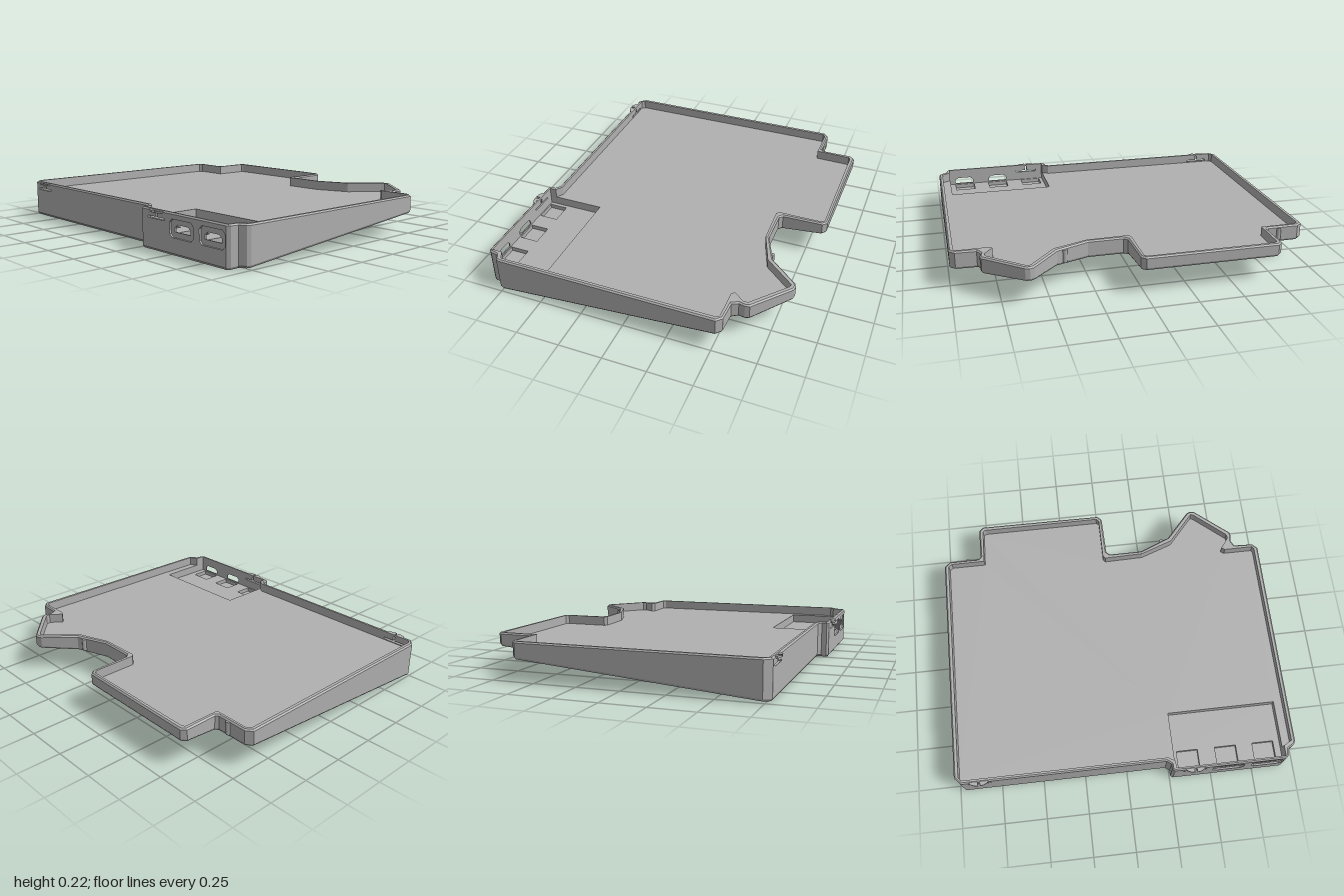
import * as THREE from 'three';

const TOP = 0.22, FLOOR = 0.165, RECESS = 0.115, POCKET = 0.09;
const underside = (z) => 0.0717 - 0.0848 * z;

// Plan outlines as [x, z], running from the back right corner along the back
const outer = [
  [-1, -0.61], [-0.965, -0.64], [-0.785, -0.64], [-0.77, -0.655], [-0.77, -0.84], [-0.745, -0.865],
  [0, -0.86], [0.025, -0.835], [0.03, -0.6], [0.05, -0.58], [0.25, -0.58], [0.435, -0.655],
  [0.58, -0.82], [0.605, -0.83], [0.63, -0.825], [0.835, -0.65], [0.84, -0.625], [0.832, -0.59],
  [0.85, -0.555], [0.965, -0.55], [0.995, -0.52], [0.99, 0.745], [0.98, 0.765], [0.945, 0.785],
  [0.937, 0.825], [0.92, 0.842], [0.27, 0.842], [0.255, 0.83], [0.255, 0.8], [0.23, 0.78],
  [-0.965, 0.78], [-1, 0.74],
];
const inner = [
  [-0.975, -0.605], [-0.955, -0.62], [-0.75, -0.62], [-0.745, -0.83], [-0.73, -0.84], [-0.01, -0.84],
  [0.005, -0.825], [0.005, -0.57], [0.02, -0.555], [0.255, -0.56], [0.45, -0.63], [0.59, -0.79],
  [0.605, -0.805], [0.62, -0.8], [0.81, -0.635], [0.815, -0.61], [0.765, -0.545], [0.785, -0.53],
  [0.96, -0.53], [0.97, -0.515], [0.968, 0.74], [0.92, 0.765], [0.92, 0.825], [0.28, 0.825],
  [0.28, 0.785], [0.24, 0.76], [-0.96, 0.76], [-0.975, 0.74],
];
// The long front edges are built as pierced panels instead of plain wall
const isFront = (a, b) => a[0] - b[0] > 0.5 && a[1] > 0.7;

function inset(points, d) {
  const n = points.length;
  const normal = (a, b) => new THREE.Vector2(b[1] - a[1], a[0] - b[0]).normalize();
  return points.map((p, i) => {
    const n1 = normal(points[(i + n - 1) % n], p), n2 = normal(p, points[(i + 1) % n]);
    const m = n1.clone().add(n2).multiplyScalar(d / (1 + n1.dot(n2)));
    return [p[0] - m.x, p[1] - m.y];
  });
}

// Strip between two closed loops; heights are functions of z
function ribbon(low, yLow, high, yHigh, { inward = false, skip = () => false } = {}) {
  const pos = [];
  low.forEach((p, i) => {
    const j = (i + 1) % low.length, q = low[j];
    if (skip(p, q)) return;
    const a = [p[0], yLow(p[1]), p[1]], b = [q[0], yLow(q[1]), q[1]];
    const c = [high[j][0], yHigh(high[j][1]), high[j][1]], d = [high[i][0], yHigh(high[i][1]), high[i][1]];
    pos.push(...(inward ? [a, b, c, a, c, d] : [a, d, c, a, c, b]).flat());
  });
  const g = new THREE.BufferGeometry();
  g.setAttribute('position', new THREE.Float32BufferAttribute(pos, 3));
  g.computeVertexNormals();
  return g;
}

const vectors = (points, s = 1) => points.map(([x, y]) => new THREE.Vector2(x, s * y));

// Horizontal face with optional holes
function cap(points, y, holes = []) {
  const shape = new THREE.Shape(vectors(points, -1));
  shape.holes = holes.map((h) => new THREE.Path(vectors(h, -1)));
  const g = new THREE.ShapeGeometry(shape).rotateX(-Math.PI / 2);
  return g.translate(0, y, 0);
}

const rect = (x0, x1, y0, y1) => [[x0, y0], [x1, y0], [x1, y1], [x0, y1]];
const cutRect = (x0, x1, y0, y1, c) => [
  [x0 + c, y0], [x1 - c, y0], [x1, y0 + c], [x1, y1 - c], [x1 - c, y1], [x0 + c, y1], [x0, y1 - c], [x0, y0 + c],
];

// Upright panel with holes, from z0 to z1
function panel(x0, x1, y0, y1, z0, z1, holes) {
  const shape = new THREE.Shape(vectors(rect(x0, x1, y0, y1)));
  shape.holes = holes.map((h) => new THREE.Path(vectors(h)));
  return new THREE.ExtrudeGeometry(shape, { depth: z1 - z0, bevelEnabled: false }).translate(0, 0, z0);
}

// T-shaped relief slot that frees a snap tab
const slot = (c) => [
  [c - 0.07, 0.17], [c + 0.07, 0.17], [c + 0.07, 0.181], [c + 0.006, 0.181],
  [c + 0.006, 0.209], [c - 0.006, 0.209], [c - 0.006, 0.181], [c - 0.07, 0.181],
];

export function createModel() {
  const model = new THREE.Group();
  model.name = 'caseBase';
  const grey = new THREE.MeshStandardMaterial({ color: 0xb0b0b0, side: THREE.DoubleSide });
  grey.name = 'grey plastic';
  const add = (name, geometry) => {
    const mesh = new THREE.Mesh(geometry, grey);
    mesh.name = name;
    model.add(mesh);
    return mesh;
  };

  // Wedge shell: sloping underside, chamfers, walls and rim
  const small = inset(outer, 0.008);
  const chamferY = (z) => underside(z) + 0.012;
  const under = cap(small, 0);
  const p = under.attributes.position;
  for (let i = 0; i < p.count; i++) p.setY(i, underside(p.getZ(i)));
  under.computeVertexNormals();
  add('underside', under);
  add('bottomChamfer', ribbon(small, underside, outer, chamferY));
  add('outerWall', ribbon(outer, chamferY, outer, () => 0.212, { skip: isFront }));
  add('topChamfer', ribbon(outer, () => 0.212, small, () => TOP));
  add('rim', cap(small, TOP, [inner]));
  add('innerWall', ribbon(inner, () => FLOOR, inner, () => TOP, { inward: true, skip: isFront }));

  // Tray floor, cut away over the connector recess
  add('floor', cap(inner.map(([x, z]) => [x, z > 0.8 ? 0.485 : z]), FLOOR));

  // Connector recess with three pockets
  const recess = rect(0.28, 0.92, 0.485, 0.825);
  const pockets = [0.365, 0.595, 0.82].map((x) => rect(x - 0.063, x + 0.063, 0.71, 0.818));
  add('recessFloor', cap(recess, RECESS, pockets));
  add('recessWall', ribbon(recess, () => RECESS, recess, () => FLOOR,
    { inward: true, skip: (a, b) => a[1] > 0.8 && b[1] > 0.8 }));
  pockets.forEach((k) => {
    add('pocketFloor', cap(k, POCKET));
    add('pocketWall', ribbon(k, () => POCKET, k, () => RECESS, { inward: true }));
  });

  // Front panels: port frames in the outer layer, smaller openings behind
  const ports = [0.592, 0.822];
  const frames = ports.map((x) => cutRect(x - 0.092, x + 0.092, 0.093, 0.188, 0.018));
  const openings = ports.map((x) => [
    [x - 0.06, 0.122], [x + 0.06, 0.122], [x + 0.06, 0.145], [x + 0.042, 0.16], [x - 0.042, 0.16], [x - 0.06, 0.145],
  ]);
  add('portPanelOuter', panel(0.27, 0.92, chamferY(0.842), 0.212, 0.832, 0.842, [slot(0.39), ...frames]));
  add('portPanelInner', panel(0.272, 0.925, 0.03, 0.2195, 0.825, 0.832, [slot(0.39), ...openings]));
  add('frontPanelOuter', panel(-0.965, 0.23, chamferY(0.78), 0.212, 0.772, 0.78, [slot(-0.86)]));
  add('frontPanelInner', panel(-0.965, 0.24, 0.03, 0.2195, 0.76, 0.772, [slot(-0.86)]));

  // Split snap tabs at the front
  [[-0.86, 0.78], [0.39, 0.842]].forEach(([x, z]) => [-1, 1].forEach((s) => {
    const tab = [[0.007, -0.01], [0.007, 0.02], [0.03, 0.017], [0.05, 0.007], [0.058, -0.01]];
    const g = new THREE.ExtrudeGeometry(new THREE.Shape(vectors(tab.map(([a, b]) => [a * s, b]))),
      { depth: 0.012, bevelEnabled: false });
    add('snapTab', g.rotateX(Math.PI / 2)).position.set(x, 0.217, z);
  }));

  // Small upright ribs on the back wall
  [[-0.85, -0.638], [0.39, -0.638]].forEach(([x, z]) => {
    const low = underside(z) + 0.012;
    add('backRib', new THREE.CylinderGeometry(0.014, 0.014, 0.212 - low, 8))
      .position.set(x, (0.212 + low) / 2, z);
  });
  return model;
}
